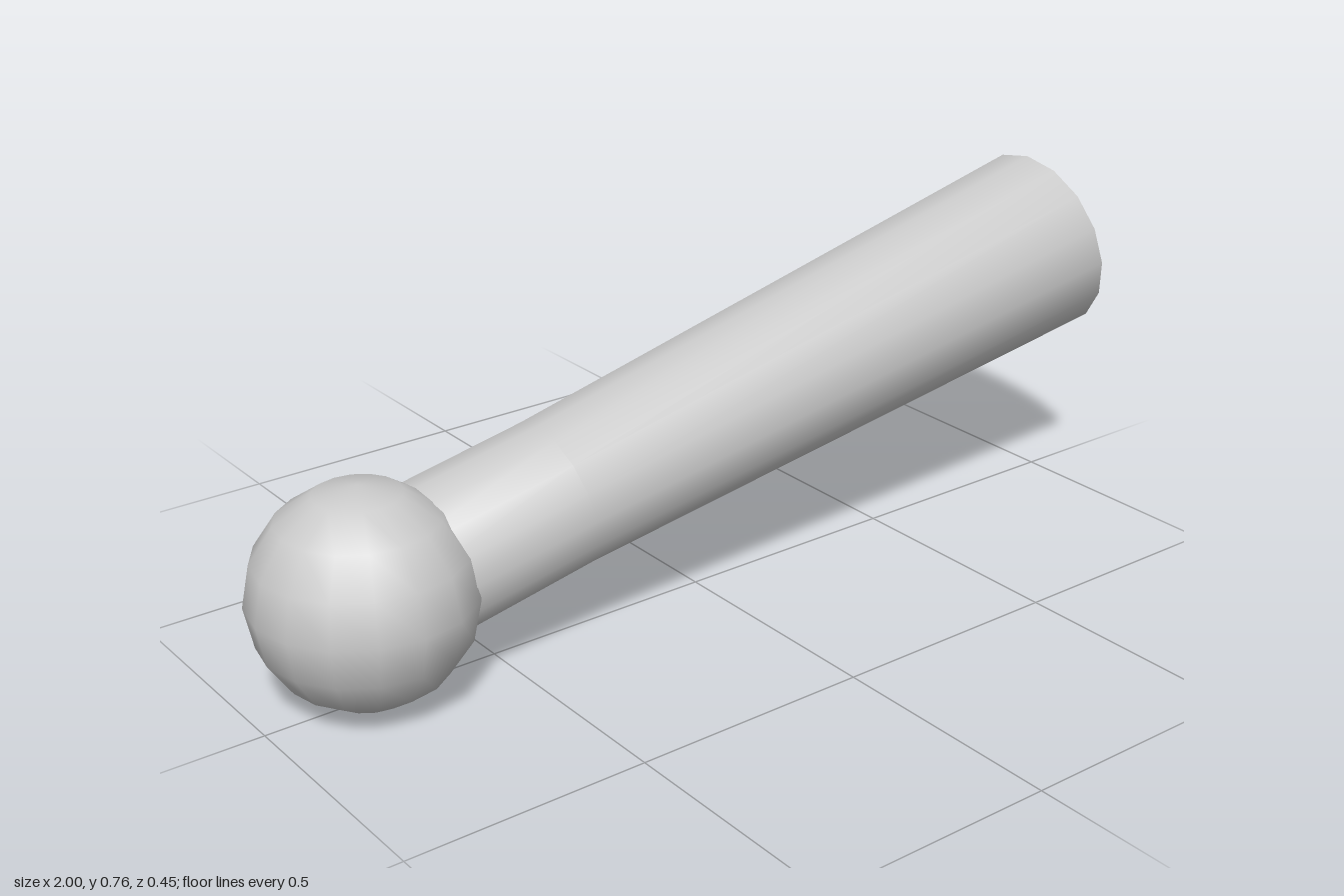
import * as THREE from 'three';
import { mergeVertices } from 'three/addons/utils/BufferGeometryUtils.js';

const SIDES = 16;
const BALL_RADIUS = 0.223;
const ballCentre = new THREE.Vector3(-0.777, BALL_RADIUS, 0);
const shaftEnd = new THREE.Vector3(0.961, 0.56, 0);

// Weld a revolved surface so shading flows smoothly over its rims.
function smoothLathe(profile) {
  const points = profile.map(([r, y]) => new THREE.Vector2(r, y));
  const geometry = new THREE.LatheGeometry(points, SIDES);
  geometry.deleteAttribute('uv');
  geometry.deleteAttribute('normal');
  const welded = mergeVertices(geometry, 1e-4);
  welded.computeVertexNormals();
  return welded;
}

export function createModel() {
  const group = new THREE.Group();
  const material = new THREE.MeshStandardMaterial({ color: 0xcccccc });

  // Round ball at the low end
  const ball = new THREE.Mesh(
    new THREE.SphereGeometry(BALL_RADIUS, SIDES, SIDES / 2),
    material
  );
  ball.name = 'ball';
  ball.position.copy(ballCentre);
  group.add(ball);

  // Shaft rising from the ball: straight neck, then a flare to a flat end
  const axis = shaftEnd.clone().sub(ballCentre);
  const length = axis.length();
  const shaft = new THREE.Mesh(
    smoothLathe([
      [0, 0],
      [0.155, 0],
      [0.155, 0.43],
      [0.204, length],
      [0, length],
    ]),
    material
  );
  shaft.name = 'shaft';
  shaft.position.copy(ballCentre);
  shaft.quaternion.setFromUnitVectors(new THREE.Vector3(0, 1, 0), axis.normalize());
  group.add(shaft);

  return group;
}
